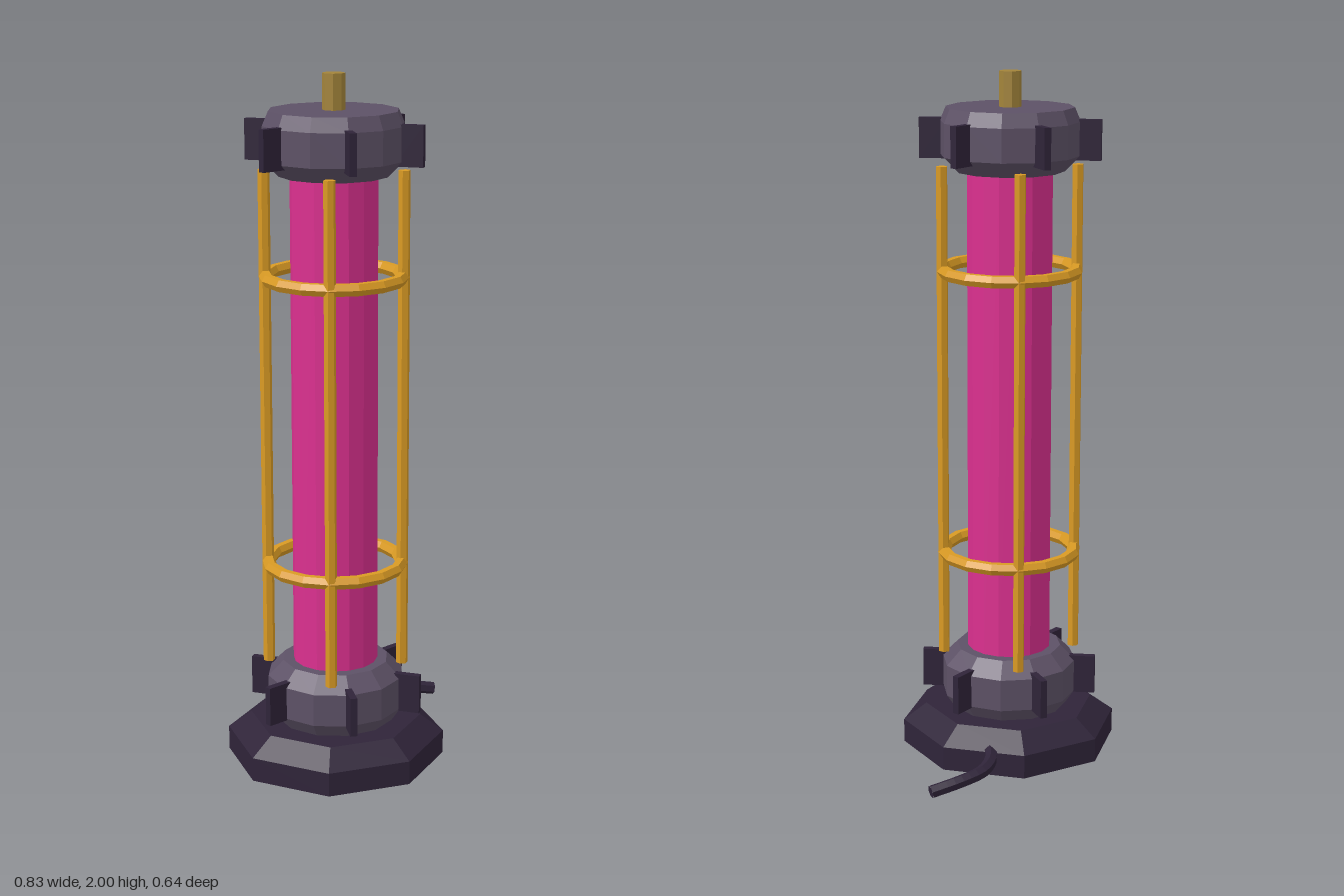
import * as THREE from 'three';

const paint = (name, color) => {
  const m = new THREE.MeshStandardMaterial({ color, flatShading: true });
  m.name = name;
  return m;
};

export function createModel() {
  const dark = paint('dark plastic', 0x2f2439);
  const grey = paint('grey cap', 0x5d5166);
  const pink = paint('pink glass', 0xdb308f);
  const gold = paint('gold', 0xd99a24);
  const brass = paint('dull brass', 0xa3843a);

  const model = new THREE.Group();
  model.name = 'tubeLamp';
  const lamp = new THREE.Group();
  lamp.name = 'lampBody';
  lamp.position.x = -0.0975;
  model.add(lamp);

  const add = (name, geo, mat, parent = lamp) => {
    const mesh = new THREE.Mesh(geo, mat);
    mesh.name = name;
    parent.add(mesh);
    return mesh;
  };
  // turned part from [radius, height] pairs, bottom to top
  const turned = (name, profile, sides, mat) =>
    add(name, new THREE.LatheGeometry(profile.map(([r, y]) => new THREE.Vector2(r, y)), sides), mat);
  const rod = (name, r, y0, y1, sides, mat) => {
    const mesh = add(name, new THREE.CylinderGeometry(r, r, y1 - y0, sides), mat);
    mesh.position.y = (y0 + y1) / 2;
    return mesh;
  };

  // octagonal foot and the two end caps
  turned('base', [[0, 0], [0.318, 0], [0.318, 0.07], [0.25, 0.12], [0, 0.12]], 8, dark);
  turned('lowerCap', [[0, 0.115], [0.17, 0.115], [0.2, 0.16], [0.2, 0.255], [0.155, 0.3], [0, 0.3]], 12, grey);
  turned('upperCap', [[0, 1.72], [0.155, 1.72], [0.2, 1.765], [0.2, 1.86], [0.183, 1.9], [0, 1.9]], 12, grey);

  // glowing tube and top pin
  rod('glassTube', 0.123, 0.295, 1.725, 16, pink);
  rod('topPin', 0.032, 1.89, 2, 8, brass);

  // six fins around each cap
  for (const y of [0.213, 1.81]) {
    for (let i = 0; i < 6; i++) {
      const a = (i * Math.PI) / 3;
      const fin = add('capFin', new THREE.BoxGeometry(0.083, 0.115, 0.02), dark);
      fin.position.set(Math.cos(a) * 0.2175, y, Math.sin(a) * 0.2175);
      fin.rotation.y = -a;
    }
  }

  // protective cage: four bars and two rings
  for (let i = 0; i < 4; i++) {
    const a = Math.PI / 4 + (i * Math.PI) / 2;
    const bar = rod('cageBar', 0.017, 0.285, 1.735, 6, gold);
    bar.position.x = Math.cos(a) * 0.195;
    bar.position.z = Math.sin(a) * 0.195;
  }
  for (const y of [0.595, 1.435]) {
    const ring = add('cageRing', new THREE.TorusGeometry(0.193, 0.019, 6, 16), gold);
    ring.rotation.x = Math.PI / 2;
    ring.position.y = y;
  }

  // power cable, with a closed free end
  const path = new THREE.CatmullRomCurve3([
    [0.12, 0.07, -0.08], [0.18, 0.062, -0.145], [0.25, 0.052, -0.168],
    [0.32, 0.042, -0.149], [0.405, 0.025, -0.102],
  ].map((p) => new THREE.Vector3(...p)));
  const cable = new THREE.Group();
  cable.name = 'cable';
  model.add(cable);
  add('cableCord', new THREE.TubeGeometry(path, 14, 0.019, 6), dark, cable);
  const end = add('cableEnd', new THREE.CircleGeometry(0.019, 6), dark, cable);
  end.position.copy(path.getPoint(1));
  end.lookAt(end.position.clone().add(path.getTangent(1)));

  return model;
}
